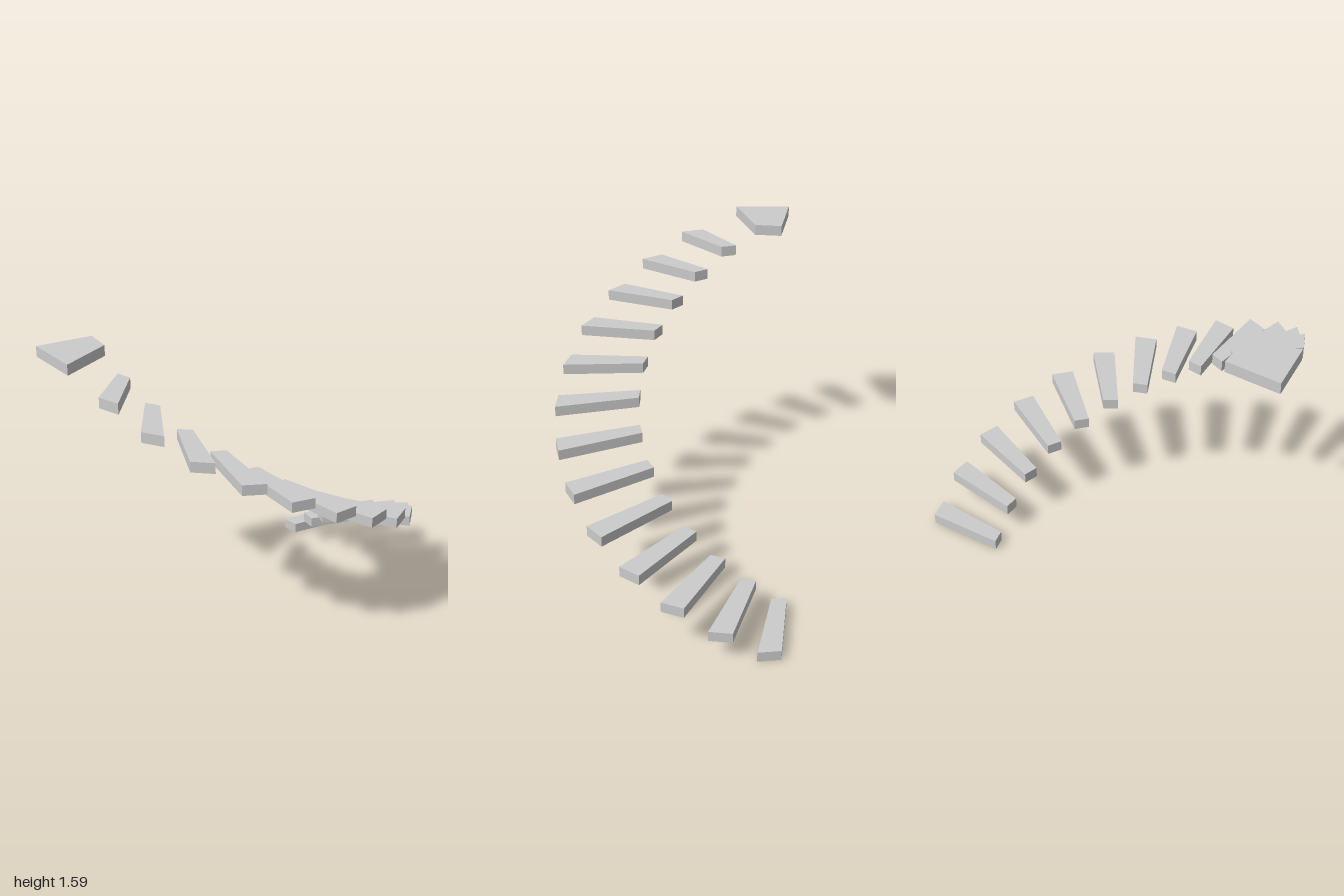
import * as THREE from 'three';

const STEPS = 14, PITCH = THREE.MathUtils.degToRad(200 / 14), RISE = 0.1178, THICK = 0.057;
// the inner and outer ends of the treads follow two circles with offset centres
const INNER = { x: -0.08, z: -0.465, r: 0.653 };
const OUTER = { x: 0.022, z: -0.36, r: 0.977 };

const onCircle = (c, a) => [c.x + c.r * Math.sin(a), c.z + c.r * Math.cos(a)];

// flat slab with an [x, z] outline, resting at height y
function slab(name, outline, y, material) {
  const shape = new THREE.Shape(outline.map(([x, z]) => new THREE.Vector2(x, -z)));
  const geometry = new THREE.ExtrudeGeometry(shape, { depth: THICK, bevelEnabled: false });
  geometry.rotateX(-Math.PI / 2);
  const mesh = new THREE.Mesh(geometry, material);
  mesh.name = name;
  mesh.position.y = y;
  return mesh;
}

export function createModel() {
  const stair = new THREE.Group();
  stair.name = 'curvedStair';
  const material = new THREE.MeshStandardMaterial({ color: 0xcccccc, flatShading: true });

  // tapered floating treads, rising from the left round the front to the right
  for (let i = 0; i < STEPS - 1; i++) {
    const mid = (7 - i) * PITCH, a = mid - PITCH / 4, b = mid + PITCH / 4;
    const outline = [onCircle(INNER, a), onCircle(OUTER, a), onCircle(OUTER, b), onCircle(INNER, b)];
    stair.add(slab(`tread${i + 1}`, outline, i * RISE, material));
  }

  // wider landing at the top
  const landing = [[-0.713, -0.54], [-0.72, -0.398], [-0.983, -0.29], [-1, -0.583]];
  stair.add(slab('landing', landing, (STEPS - 1) * RISE, material));
  return stair;
}
